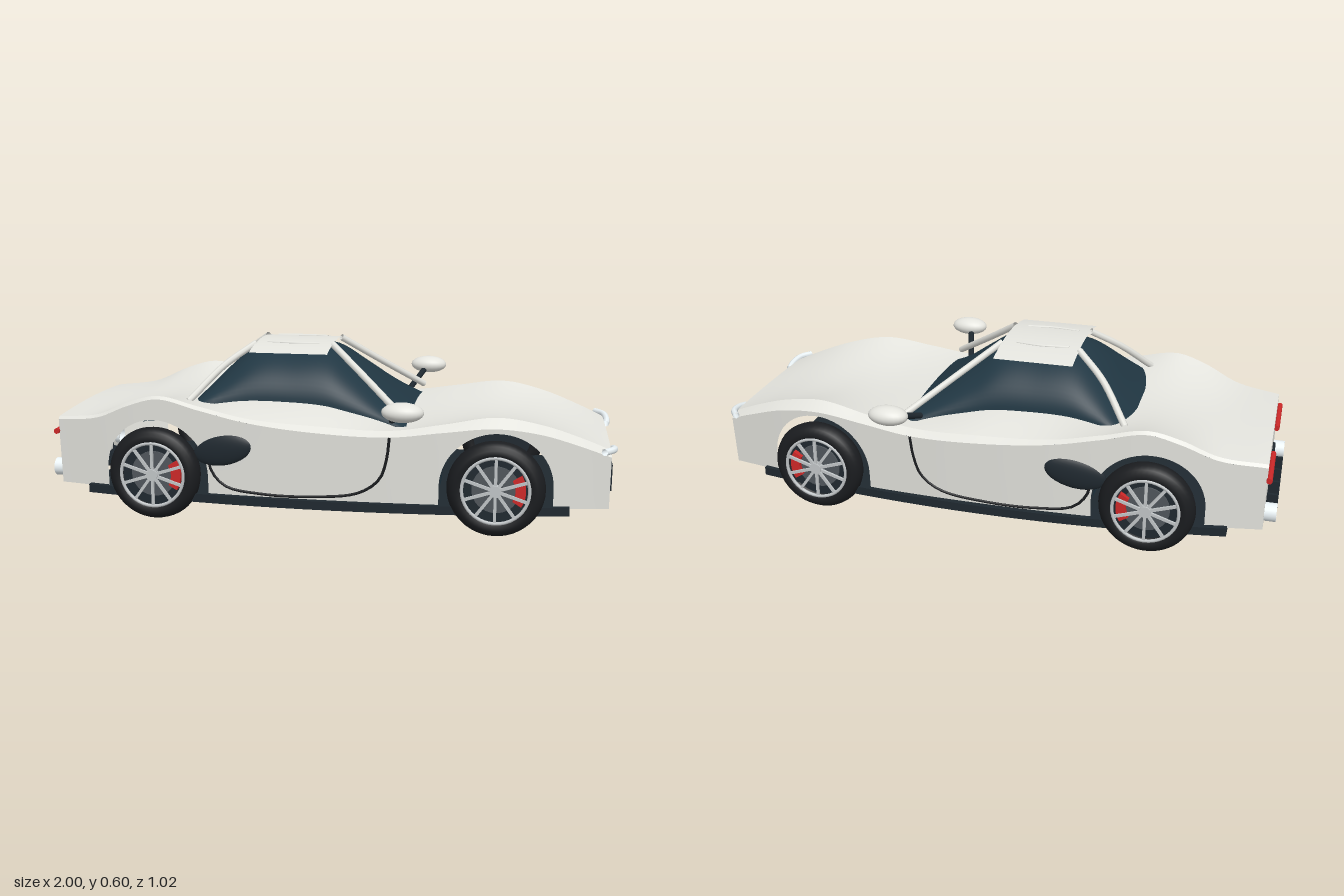
import * as THREE from 'three';

const mat = (color) => new THREE.MeshStandardMaterial({ color, side: THREE.DoubleSide });
const paint = mat(0xe4e4de), glass = mat(0x213743), dark = mat(0x1f282f), black = mat(0x1a1c1f);
const red = mat(0xcc2828), metal = mat(0xc0c4c6), lamp = mat(0xeaf2f5), disc = mat(0x50565b);
const V = (x, y, z) => new THREE.Vector3(x, y, z);

export function createModel() {
  const car = new THREE.Group();
  car.name = 'sportsCar';

  const add = (name, geo, material, pos = [0, 0, 0], parent = car) => {
    const m = new THREE.Mesh(geo, material);
    m.name = name;
    m.position.set(...pos);
    parent.add(m);
    return m;
  };
  const box = (name, size, pos, material) => add(name, new THREE.BoxGeometry(...size), material, pos);
  const tube = (name, pts, r, material) =>
    add(name, new THREE.TubeGeometry(new THREE.CatmullRomCurve3(pts), 32, r, 8), material);

  // Smooth grid surface from a list of u values and nv steps across
  const sheet = (name, us, nv, fn, material) => {
    const p = [], idx = [], n = nv + 1;
    us.forEach((u, i) => {
      for (let j = 0; j <= nv; j++) {
        p.push(...fn(u, j / nv));
        if (i && j) {
          const a = (i - 1) * n + j - 1, b = i * n + j - 1;
          idx.push(a, a + 1, b, b, a + 1, b + 1);
        }
      }
    });
    const g = new THREE.BufferGeometry();
    g.setAttribute('position', new THREE.Float32BufferAttribute(p, 3));
    g.setIndex(idx);
    g.computeVertexNormals();
    return add(name, g, material);
  };
  const steps = (a, b, n) => Array.from({ length: n + 1 }, (_, i) => a + (b - a) * i / n);
  const spline = (xs, ys) => {
    const c = new THREE.CubicInterpolant(xs, ys, 1);
    return (x) => c.evaluate(x)[0];
  };

  // Body curves along the length, nose at +x
  const X = [-0.96, -0.8, -0.68, -0.57, -0.42, -0.25, 0, 0.25, 0.42, 0.6, 0.75, 0.88, 0.975];
  const edge = spline(X, [.325, .345, .395, .425, .395, .36, .335, .33, .35, .366, .346, .305, .27]);
  const crest = spline(X, [.335, .355, .407, .435, .405, .37, .352, .345, .37, .396, .37, .325, .285]);
  const centre = spline(X, [.345, .352, .365, .38, .392, .40, .40, .345, .342, .346, .34, .315, .29]);
  const width = spline([-0.96, -0.57, 0, 0.6, 0.975], [.31, .375, .405, .375, .31]);
  const sill = 0.09, archR = 0.19, archY = 0.16, wheelX = [-0.58, 0.6];

  // Fender crest lies close to the edge at the tail, further inboard at the nose
  const crestT = (x) => Math.min(0.97, 0.93 - 0.07 * x);
  const deckY = (x, t) => { // t: 0 at the centreline, 1 at the edge
    const k = crestT(x);
    return t < k ? THREE.MathUtils.lerp(centre(x), crest(x), (t / k) ** 2)
      : THREE.MathUtils.lerp(crest(x), edge(x), (t - k) / (1 - k));
  };
  const sideZ = (x, y) => width(x) * THREE.MathUtils.lerp(0.96, 1, (y - sill) / (edge(x) - sill));
  const bottom = (x) => {
    for (const c of wheelX) {
      const d = Math.abs(x - c);
      if (d < archR) return archY + Math.sqrt(archR * archR - d * d);
    }
    return sill;
  };

  // Deck between the crests, then the outer shoulders
  const bodyX = steps(-0.96, 0.975, 80);
  sheet('bodyTop', bodyX, 40, (x, v) => {
    const t = (v * 2 - 1) * crestT(x);
    return [x, deckY(x, Math.abs(t)), t * width(x)];
  }, paint);
  for (const s of [1, -1]) {
    sheet('bodyShoulder', bodyX, 2, (x, v) => {
      const t = THREE.MathUtils.lerp(crestT(x), 1, v);
      return [x, deckY(x, t), s * t * width(x)];
    }, paint);
  }

  // Side panels, with extra columns around the wheel arches
  const cols = steps(-0.96, 0.975, 70);
  for (const c of wheelX) {
    for (let i = 0; i <= 28; i++) cols.push(c - (archR - 1e-5) * Math.cos(Math.PI * i / 28));
    cols.push(c - archR - 1e-4, c + archR + 1e-4);
  }
  cols.sort((a, b) => a - b);
  for (const s of [1, -1]) {
    sheet('bodySide', cols, 6, (x, v) => {
      const y = THREE.MathUtils.lerp(bottom(x), edge(x), v);
      return [x, y, s * sideZ(x, y)];
    }, paint);
  }

  // Tail and nose panels
  const endPanel = (name, x, topY) => sheet(name, steps(-1, 1, 20), 4, (t, v) => {
    const y = THREE.MathUtils.lerp(sill, topY(Math.abs(t)), v);
    return [x, y, t * sideZ(x, Math.min(y, edge(x)))];
  }, paint);
  endPanel('tailPanel', -0.96, (t) => deckY(-0.96, t));
  endPanel('nosePanel', 0.975, () => 0.267);
  box('noseGrille', [0.02, 0.09, 0.47], [0.975, 0.18, 0], dark);
  box('tailPlate', [0.012, 0.05, 0.2], [-0.963, 0.205, 0], dark);

  // Floor with bulging sills
  const floor = new THREE.Shape();
  floor.moveTo(-0.845, -0.338).quadraticCurveTo(0, -0.482, 0.845, -0.338);
  floor.lineTo(0.845, 0.338).quadraticCurveTo(0, 0.482, -0.845, 0.338);
  const floorGeo = new THREE.ExtrudeGeometry(floor, { depth: 0.03, bevelEnabled: false, curveSegments: 24 });
  add('floor', floorGeo.rotateX(-Math.PI / 2), dark, [0, 0.068, 0]);

  // Glass cabin dome, kept below the roof panel
  const GX = [-0.49, -0.45, -0.36, -0.28, -0.14, 0, 0.08, 0.2, 0.29];
  const gW = spline(GX, [.27, .285, .275, .266, .262, .266, .275, .295, .32]);
  const gBase = spline(GX, [.37, .385, .40, .408, .408, .40, .385, .36, .335]);
  const gTop = spline(GX, [.39, .43, .52, .573, .584, .575, .525, .435, .37]);
  sheet('cabinGlass', steps(-0.49, 0.29, 40), 32, (x, v) => {
    const a = Math.PI * v;
    return [x, gBase(x) + (gTop(x) - gBase(x)) * Math.sin(a) ** 1.1, gW(x) * Math.cos(a)];
  }, glass);

  // Thin arched roof panel with two raised slots
  const roofY = (z) => 0.595 - 0.025 * (z / 0.21) ** 2;
  sheet('roofPanel', [-0.28, 0], 12, (x, v) => {
    const z = (v * 2 - 1) * 0.21;
    return [x, roofY(z), z];
  }, paint);

  for (const s of [1, -1]) {
    tube('roofSlot', [V(-0.24, roofY(.09), s * .085), V(-0.14, roofY(.09), s * .096), V(-0.05, roofY(.09), s * .085)], 0.005, paint);
    // Pillars
    tube('frontPillar', [V(.29, .375, s * .33), V(.14, .485, s * .2), V(0, .588, s * .09)], 0.012, paint);
    tube('rearPillar', [V(-.48, .405, s * .285), V(-.38, .515, s * .175), V(-.28, .588, s * .1)], 0.012, paint);

    // Door seam following the side panel
    const seam = [[-.385, .27], [-.38, .19], [-.33, .13], [-.2, .108], [-.02, .108], [.14, .13], [.21, .18], [.235, .25], [.245, .33]];
    tube('doorSeam', seam.map(([x, y]) => V(x, y, s * sideZ(x, y))), 0.005, black);

    // Side air intake
    const intake = add('sideIntake', new THREE.SphereGeometry(1, 24, 16), dark, [-0.335, 0.258, s * 0.383]);
    intake.scale.set(0.108, 0.055, 0.02);
    intake.rotation.set(0, -s * 0.1, 0.22);

    // Mirrors
    tube('mirrorStalk', [V(.24, .365, s * .30), V(.265, .395, s * .38), V(.285, .42, s * .45)], 0.011, dark);
    add('mirror', new THREE.SphereGeometry(1, 24, 16), paint, [.295, .43, s * .463]).scale.set(.07, .033, .045);

    // Lights
    tube('headlight', [V(.95, .29, s * .325), V(.978, .289, s * .285), V(.988, .281, s * .23), V(.985, .272, s * .19)], 0.012, lamp);
    add('tailLight', new THREE.CylinderGeometry(.01, .01, .215, 12).rotateX(Math.PI / 2), red, [-.967, .283, s * .212]);

    // Exhaust pipes
    add('exhaust', new THREE.CylinderGeometry(.032, .032, .06, 20, 1, true).rotateZ(Math.PI / 2), lamp, [-.97, .135, s * .25]);
    add('exhaustBore', new THREE.CircleGeometry(.031, 20).rotateY(-Math.PI / 2), black, [-.975, .135, s * .25]);
  }

  // Diffuser fins
  for (let i = -2; i <= 2; i++) {
    box('diffuserFin', [0.12, 0.026, 0.012], [-0.94, 0.088, i * 0.1], dark);
    box('diffuserFinTip', [0.04, 0.05, 0.012], [-0.98, 0.1, i * 0.1], dark);
  }

  // Wheels with tyre, rim, spokes and brake caliper
  const tyreProfile = [[.112, -.03], [.122, -.039], [.138, -.037], [.151, -.029], [.16, -.016], [.164, 0],
    [.16, .016], [.151, .029], [.138, .037], [.122, .039], [.112, .03]].map(([r, z]) => new THREE.Vector2(r, z));
  const tyreGeo = new THREE.LatheGeometry(tyreProfile, 48).rotateX(Math.PI / 2);
  const drum = (r, d) => new THREE.CylinderGeometry(r, r, d, 32).rotateX(Math.PI / 2);
  const caliper = new THREE.Shape();
  caliper.absarc(0, 0, 0.1, -0.55, 0.55, false);
  caliper.absarc(0, 0, 0.066, 0.55, -0.55, true);
  const caliperGeo = new THREE.ExtrudeGeometry(caliper, { depth: 0.018, bevelEnabled: false });
  for (const s of [1, -1]) wheelX.forEach((x, i) => {
    const wheel = new THREE.Group();
    wheel.name = 'wheel';
    wheel.position.set(x, 0.165, s * 0.38);
    if (s < 0) wheel.scale.z = -1;
    car.add(wheel);
    const part = (name, geo, material, z = 0) => add(name, geo, material, [0, 0, z], wheel);
    part('tyre', tyreGeo, black);
    part('rimBack', drum(0.114, 0.03), dark, -0.005);
    part('brakeDisc', drum(0.08, 0.01), disc, 0.011);
    part('rimEdge', new THREE.TorusGeometry(0.112, 0.006, 8, 40), metal, 0.033);
    part('brakeCaliper', caliperGeo, red, 0.012);
    part('hub', drum(0.02, 0.024), metal, 0.03);
    for (let k = 0; k < 10; k++) {
      const spoke = new THREE.BoxGeometry(0.1, 0.01, 0.008).translate(0.062, 0, 0);
      part('spoke', spoke.rotateZ((k + 0.5) * Math.PI / 5), metal, 0.033);
    }
    // Arch liner on the cabin side of each wheel
    const liner = new THREE.CylinderGeometry(0.187, 0.187, 0.07, 20, 1, true, i ? Math.PI * 0.92 : Math.PI / 2, Math.PI * 0.58);
    add('archLiner', liner.rotateX(Math.PI / 2), glass, [x, archY, s * 0.325]);
  });

  return car;
}
